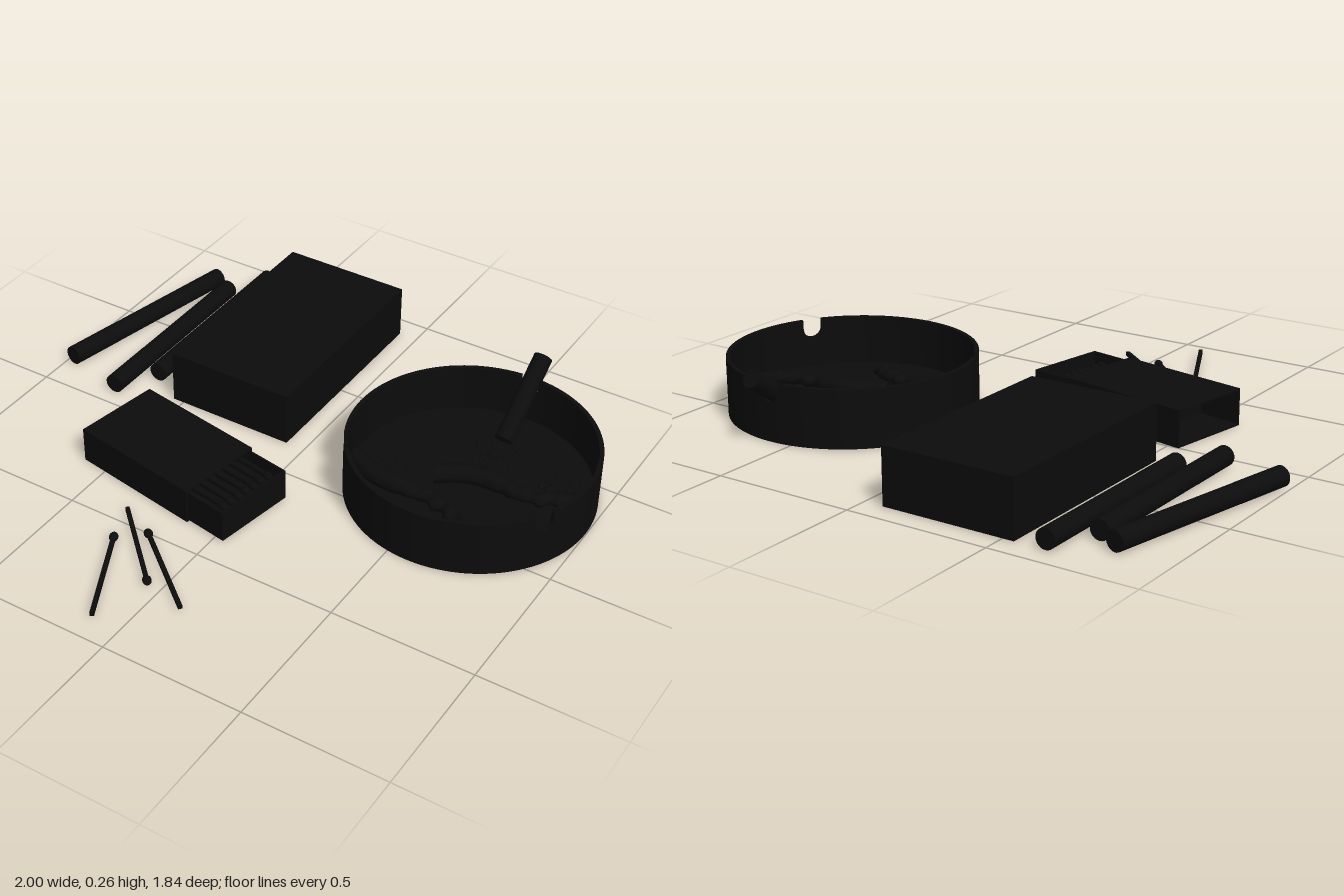
import * as THREE from 'three';

const mat = new THREE.MeshStandardMaterial({ color: 0x0c0c0c });
const matTwoSided = new THREE.MeshStandardMaterial({ color: 0x0c0c0c, side: THREE.DoubleSide });
const V = (x, y, z) => new THREE.Vector3(x, y, z);

function add(parent, name, geometry, x = 0, y = 0, z = 0, material = mat) {
  const mesh = new THREE.Mesh(geometry, material);
  mesh.name = name;
  mesh.position.set(x, y, z);
  parent.add(mesh);
  return mesh;
}

function group(parent, name, x = 0, y = 0, z = 0) {
  const g = new THREE.Group();
  g.name = name;
  g.position.set(x, y, z);
  parent.add(g);
  return g;
}

// Round rod between two points
function rod(parent, name, a, b, r, sides = 24) {
  const mid = a.clone().add(b).multiplyScalar(0.5);
  const mesh = add(parent, name, new THREE.CylinderGeometry(r, r, a.distanceTo(b), sides), mid.x, mid.y, mid.z);
  mesh.quaternion.setFromUnitVectors(V(0, 1, 0), b.clone().sub(a).normalize());
  return mesh;
}

// Cigarette: filter from a, paper to b
function cigarette(parent, name, a, b, r, filter = 0.28) {
  const g = group(parent, name);
  const split = a.clone().lerp(b, filter);
  rod(g, 'filter', a, split, r);
  rod(g, 'paper', split, b, r * 0.985);
}

// Match: thin square stick with a rounded head at a
function match(parent, name, a, b) {
  const g = group(parent, name, a.x, a.y, a.z);
  const d = b.clone().sub(a);
  g.rotation.y = Math.atan2(-d.z, d.x);
  const len = d.length();
  add(g, 'stick', new THREE.BoxGeometry(len, 0.014, 0.014), len / 2, 0, 0);
  add(g, 'head', new THREE.SphereGeometry(0.015, 12, 8), 0.012, 0, 0).scale.set(1.35, 0.9, 1);
}

// Ring wall with round-bottomed notches, built column by column
function notchedWall(R, t, h, notchAngles, nr, ny) {
  const cols = [];
  const half = nr / R;
  notchAngles.forEach((a, i) => {
    const next = i + 1 < notchAngles.length ? notchAngles[i + 1] : notchAngles[0] + Math.PI * 2;
    for (let k = 0; k <= 12; k++) {
      const c = -Math.cos((k / 12) * Math.PI);
      cols.push([a + c * half, ny - nr * Math.sqrt(Math.max(0, 1 - c * c))]);
    }
    const from = a + half, to = next - half;
    for (let k = 0; k <= 32; k++) cols.push([from + ((to - from) * k) / 32, h]);
  });
  cols.push([cols[0][0] + Math.PI * 2, cols[0][1]]);
  const pos = [], idx = [];
  const point = (a, r, y) => pos.push(Math.sin(a) * r, y, Math.cos(a) * r);
  // Strips: outer face, rim, inner face
  const strips = [
    (a, y) => { point(a, R, 0); point(a, R, y); },
    (a, y) => { point(a, R, y); point(a, R - t, y); },
    (a, y) => { point(a, R - t, y); point(a, R - t, 0); },
  ];
  strips.forEach((strip) => {
    const base = pos.length / 3;
    cols.forEach(([a, y]) => strip(a, y));
    for (let i = 0; i < cols.length - 1; i++) {
      const p = base + i * 2;
      idx.push(p, p + 2, p + 1, p + 1, p + 2, p + 3);
    }
  });
  const g = new THREE.BufferGeometry();
  g.setAttribute('position', new THREE.Float32BufferAttribute(pos, 3));
  g.setIndex(idx);
  g.computeVertexNormals();
  return g;
}

// Crumpled butt along x: bent, wrinkled and squashed toward its burnt end
function buttGeometry(len, bend) {
  const g = new THREE.CylinderGeometry(0.033, 0.033, len, 20, 36);
  g.rotateZ(-Math.PI / 2);
  const p = g.attributes.position;
  for (let i = 0; i < p.count; i++) {
    const u = p.getX(i) / len + 0.5;
    const crush = THREE.MathUtils.smoothstep(u, 0.4, 0.65);
    const k = 1 + crush * (0.14 * Math.sin(u * 50) - 0.15);
    p.setY(i, p.getY(i) * k * (1 - 0.25 * crush));
    p.setZ(i, p.getZ(i) * k + bend * Math.sin(u * Math.PI * 2) + crush * 0.006 * Math.sin(u * 35));
  }
  g.computeVertexNormals();
  return g;
}

function seeded(seed) {
  return () => (seed = (seed * 16807) % 2147483647) / 2147483647;
}

export function createModel() {
  const model = new THREE.Group();
  model.name = 'smokingSet';

  // Ashtray
  const tray = group(model, 'ashtray', 0.575, 0, -0.26);
  const third = (Math.PI * 2) / 3;
  add(tray, 'wall', notchedWall(0.423, 0.015, 0.2, [third / 2, third * 1.5, third * 2.5], 0.035, 0.17), 0, 0, 0, matTwoSided);
  add(tray, 'floor', new THREE.CylinderGeometry(0.415, 0.415, 0.03, 96), 0, 0.015, 0);
  cigarette(tray, 'restingCigarette', V(0, 0.235, -0.5), V(0, 0.05, -0.235), 0.033, 0.6);

  // Crushed butts
  [[-0.15, 0.175, 0.46, 0.02, -0.24], [0.12, -0.005, 0.46, -0.03, 0.28]].forEach(([x, z, len, bend, turn], i) => {
    add(tray, 'crushedButt' + (i + 1), buttGeometry(len, bend), x, 0.06, z).rotation.y = turn;
  });

  // Ash crumbs around each burnt end
  const rand = seeded(7);
  const crumb = new THREE.IcosahedronGeometry(1, 0);
  [[0, -0.16], [0.29, -0.13], [-0.27, 0.11]].forEach(([x, z], i) => {
    const ash = group(tray, 'ash' + (i + 1), x, 0.03, z);
    for (let k = 0; k < 45; k++) {
      const a = rand() * Math.PI * 2, d = 0.1 * rand(), s = 0.004 + 0.007 * rand();
      const m = add(ash, 'ashCrumb', crumb, Math.cos(a) * d, s * 0.5, Math.sin(a) * d);
      m.scale.set(s, s * 0.7, s);
      m.rotation.y = a;
    }
  });

  // Cigarette packet
  add(model, 'cigarettePacket', new THREE.BoxGeometry(0.47, 0.194, 0.78), -0.305, 0.097, -0.53);

  // Loose cigarettes
  cigarette(model, 'looseCigarette1', V(-0.65, 0.035, -0.2), V(-0.65, 0.035, -0.925), 0.034);
  cigarette(model, 'looseCigarette2', V(-0.74, 0.035, -0.06), V(-0.74, 0.035, -0.785), 0.034);
  cigarette(model, 'looseCigarette3', V(-0.967, 0.035, -0.12), V(-0.817, 0.035, -0.83), 0.034);

  // Matchbox sleeve: open-ended rectangular tube
  const box = group(model, 'matchbox', -0.2525, 0, 0.206);
  box.rotation.y = -0.174;
  const rect = (T, x0, y0, x1, y1) => {
    const s = new T();
    s.moveTo(x0, y0).lineTo(x1, y0).lineTo(x1, y1).lineTo(x0, y1).closePath();
    return s;
  };
  const section = rect(THREE.Shape, -0.155, 0, 0.155, 0.128);
  section.holes.push(rect(THREE.Path, -0.149, 0.006, 0.149, 0.122));
  const sleeve = new THREE.ExtrudeGeometry(section, { depth: 0.485, bevelEnabled: false });
  add(box, 'sleeve', sleeve.rotateY(Math.PI / 2), -0.32, 0, 0);

  // Matchbox drawer, slid partly open
  const drawer = group(box, 'drawer', 0.0775, 0.006, 0);
  add(drawer, 'drawerFloor', new THREE.BoxGeometry(0.485, 0.006, 0.296), 0, 0.003, 0);
  for (const s of [-1, 1]) {
    add(drawer, 'drawerSide', new THREE.BoxGeometry(0.485, 0.114, 0.006), 0, 0.057, s * 0.145);
    add(drawer, 'drawerEnd', new THREE.BoxGeometry(0.006, 0.114, 0.284), s * 0.2395, 0.057, 0);
  }
  // Matches stacked in the drawer
  for (let layer = 0; layer < 3; layer++) {
    for (let i = 0; i < 8; i++) {
      const z = -0.122 + i * 0.035;
      const shift = 0.008 * ((i * 3 + layer) % 3);
      match(drawer, 'boxedMatch', V(0.215 - shift, 0.022 + layer * 0.028, z), V(-0.17 - shift, 0.022 + layer * 0.028, z));
    }
  }

  // Loose matches, head end first
  match(model, 'looseMatch1', V(-0.045, 0.013, 0.705), V(-0.312, 0.013, 0.447));
  match(model, 'looseMatch2', V(-0.19, 0.013, 0.505), V(0.105, 0.013, 0.742));
  match(model, 'looseMatch3', V(-0.27, 0.013, 0.575), V(-0.105, 0.013, 0.914));

  return model;
}
